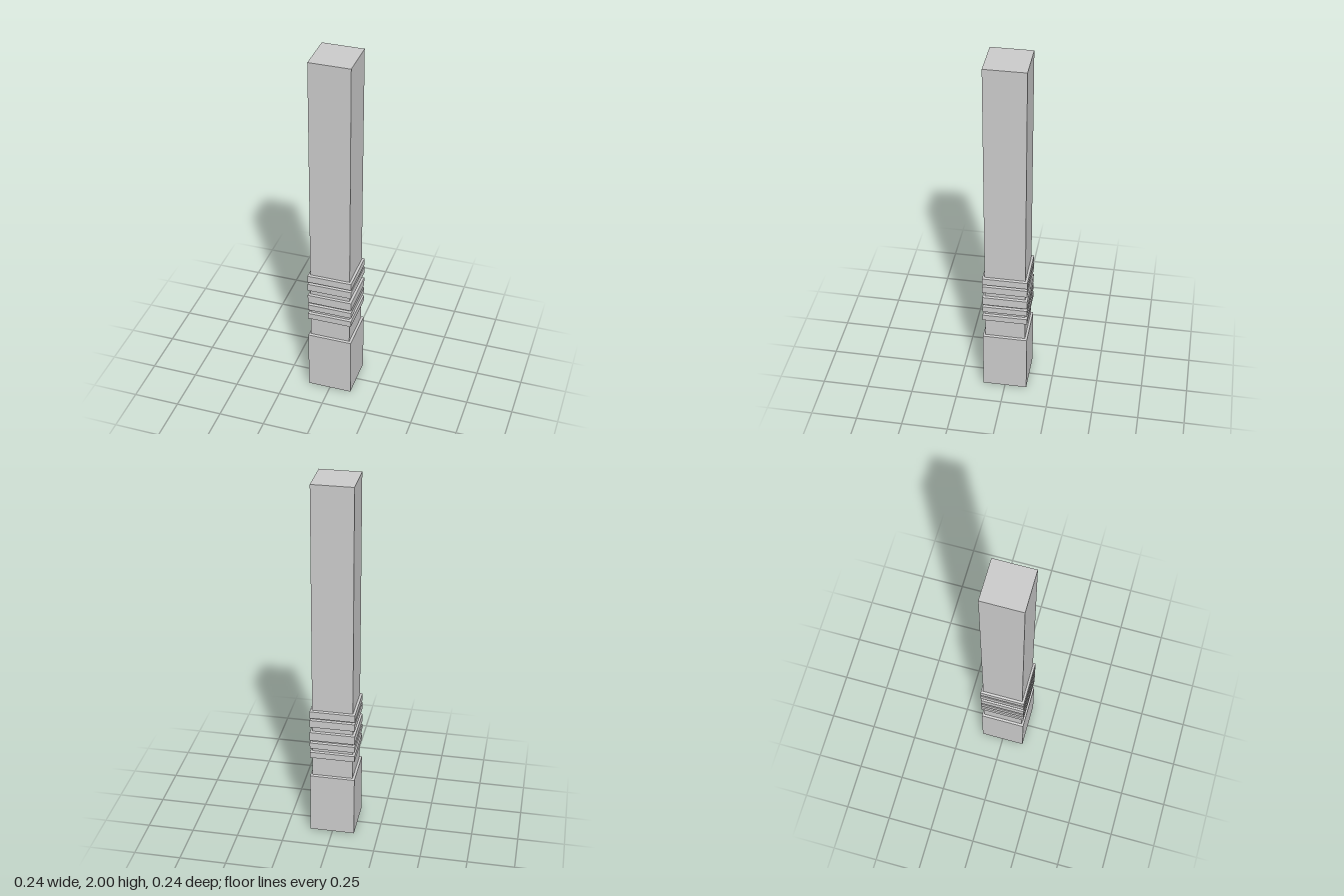
import * as THREE from 'three';

const SHAFT = 0.108; // half width of the shaft
const WIDE = 0.12; // half width of the base and bands

// Square solid from a bottom-to-top profile of [halfWidth, y]
function squareTurned(name, profile, material) {
  const points = profile.map(([h, y]) => new THREE.Vector2(h * Math.SQRT2, y));
  const mesh = new THREE.Mesh(new THREE.LatheGeometry(points, 4, Math.PI / 4), material);
  mesh.name = name;
  return mesh;
}

export function createModel() {
  const group = new THREE.Group();
  group.name = 'squareColumn';
  const material = new THREE.MeshStandardMaterial({ color: 0xcccccc, flatShading: true });

  // Plain shaft rising out of the base
  group.add(squareTurned('shaft', [[SHAFT, 0.3], [SHAFT, 2], [0, 2]], material));

  // Base block with a slight chamfer above and below
  group.add(squareTurned('base', [
    [0, 0], [0.111, 0], [WIDE, 0.005], [WIDE, 0.35], [SHAFT, 0.354],
  ], material));

  // Five bands with slightly sloping upper and lower faces
  const bands = [[0.466, 0.5], [0.524, 0.558], [0.574, 0.622], [0.655, 0.696], [0.71, 0.749]];
  bands.forEach(([low, high], i) => {
    group.add(squareTurned(`band${i + 1}`, [
      [SHAFT, low - 0.004], [WIDE, low], [WIDE, high], [SHAFT, high + 0.004],
    ], material));
  });

  return group;
}
